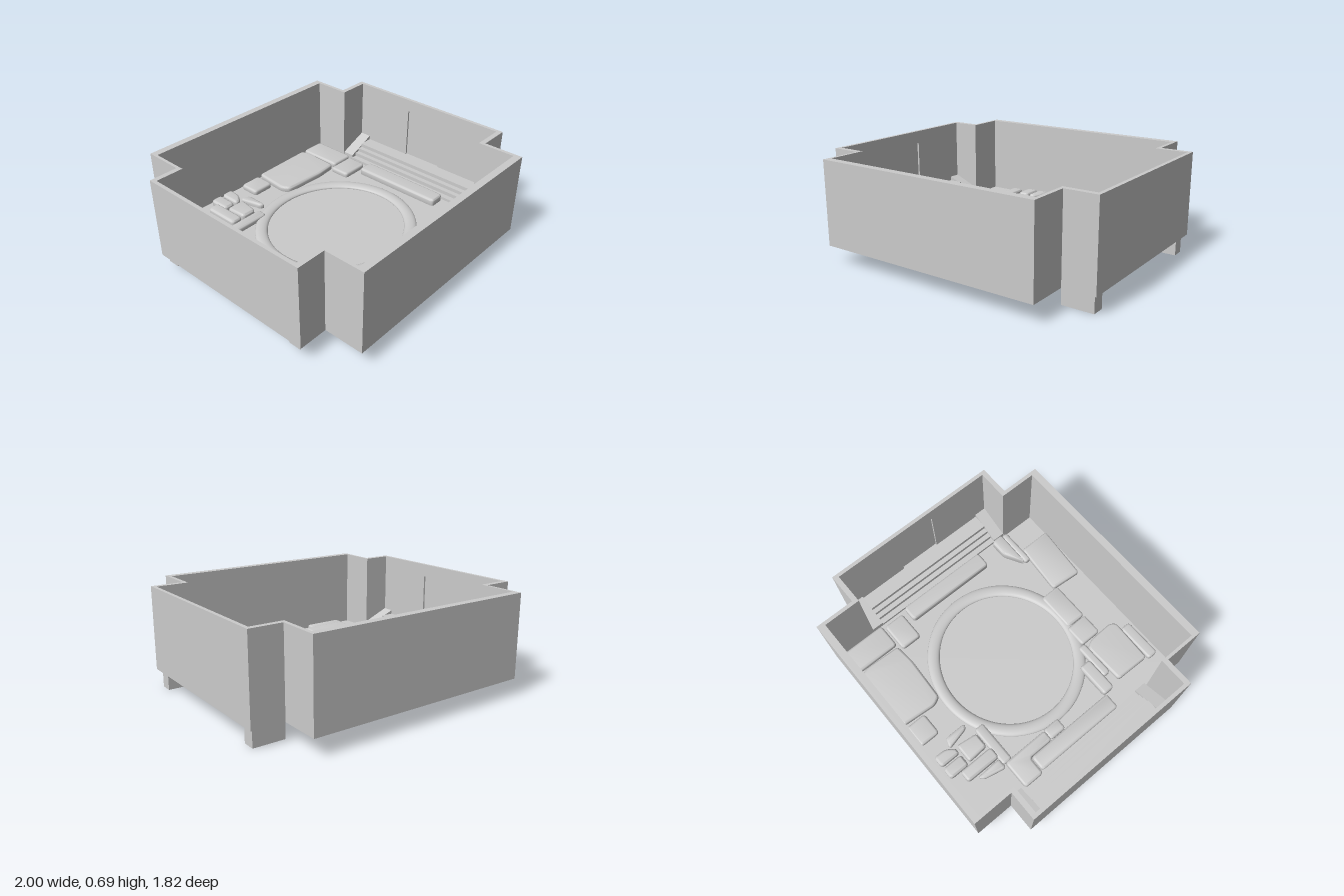
import * as THREE from 'three';
import { toCreasedNormals } from 'three/addons/utils/BufferGeometryUtils.js';

const material = new THREE.MeshStandardMaterial({ color: 0xcccccc, side: THREE.DoubleSide });
const BOTTOM = 0.12, TOP = 0.69;

export function createModel() {
  const model = new THREE.Group();
  model.name = 'chamber';

  const add = (name, geometry, parent = model) => {
    const mesh = new THREE.Mesh(geometry, material);
    mesh.name = name;
    parent.add(mesh);
    return mesh;
  };
  // Box given by its limits on each axis
  const box = (name, x0, x1, y0, y1, z0, z1, parent) => {
    const g = new THREE.BoxGeometry(x1 - x0, y1 - y0, z1 - z0);
    g.translate((x0 + x1) / 2, (y0 + y1) / 2, (z0 + z1) / 2);
    return add(name, g, parent);
  };
  const polygon = (pts) => new THREE.Shape(pts.map(([x, y]) => new THREE.Vector2(x, y)));
  // Side profile in x and y, extruded along z
  const prism = (name, pts, z0, z1, parent) => {
    const g = new THREE.ExtrudeGeometry(polygon(pts), { depth: z1 - z0, bevelEnabled: false });
    g.translate(0, 0, z0);
    return add(name, g, parent);
  };

  // Floor and main walls
  box('floor', -0.79, 0.77, BOTTOM, 0.13, -0.89, 0.89);
  for (const s of [1, -1]) {
    box(s > 0 ? 'frontWall' : 'backWall', -0.8, 0.78, BOTTOM, TOP, s > 0 ? 0.86 : -0.91, s > 0 ? 0.91 : -0.86);
    const [z0, z1] = s > 0 ? [0.6, 0.87] : [-0.87, -0.6];
    box('cornerWall', -0.8, -0.78, BOTTOM, TOP, z0, z1);
    box('cornerWall', 0.755, 0.78, BOTTOM, TOP, z0, z1);
  }

  // Side alcoves, each with a stair up to a recessed doorway
  for (const s of [1, -1]) {
    const alcove = new THREE.Group();
    alcove.name = s > 0 ? 'leftAlcove' : 'rightAlcove';
    model.add(alcove);
    const base = s > 0 ? 0 : 0.07;
    const span = (a, b) => (s > 0 ? [a, b] : [-b, -a]);

    box('endWall', ...span(0.988, 1), BOTTOM, TOP, -0.635, 0.635, alcove);
    const inner = polygon([[-0.635, BOTTOM], [0.635, BOTTOM], [0.635, TOP], [-0.635, TOP]]);
    inner.holes.push(polygon([[-0.15, 0.23], [-0.15, 0.6], [0.15, 0.6], [0.15, 0.23]]));
    const doorway = new THREE.ExtrudeGeometry(inner, { depth: 0.013, bevelEnabled: false });
    doorway.rotateY(Math.PI / 2);
    doorway.translate(span(0.975, 0.988)[0], 0, 0);
    add('doorway', doorway, alcove);

    for (const [z0, z1] of [[0.6, 0.635], [-0.635, -0.6]]) {
      box('returnWall', ...span(s > 0 ? 0.756 : 0.781, 0.976), BOTTOM, TOP, z0, z1, alcove);
    }
    // Sloped cheek blocks either side of the steps
    for (const [z0, z1] of [[0.515, 0.6], [-0.6, -0.515]]) {
      prism('stairCheek', [[0.76, base], [0.973, base], [0.973, 0.26], [0.76, 0.17]].map(([x, y]) => [s * x, y]), z0, z1, alcove);
    }
    // Hollow steps
    const t = 0.006;
    const line = [[0.76, 0.15], [0.8, 0.15], [0.8, 0.177], [0.835, 0.177], [0.835, 0.203], [0.87, 0.203], [0.87, 0.23]];
    const under = line.map(([x, y]) => [x + t, y - t]).reverse();
    const profile = [[0.76, base], ...line, [0.975, 0.23], [0.975, 0.23 - t], ...under, [0.76 + t, base]];
    prism('steps', profile.map(([x, y]) => [s * x, y]), -0.515, 0.515, alcove);
  }

  // Low rounded ring in the floor
  const ring = new THREE.TorusGeometry(0.53, 0.045, 16, 96);
  ring.rotateX(Math.PI / 2);
  ring.scale(1, 0.45, 0.945);
  ring.translate(0, 0.133, -0.003);
  add('floorRing', ring);

  // Paving stones: plan outline in x and z with rounded corners and a soft rim
  const stones = new THREE.Group();
  stones.name = 'pavingStones';
  model.add(stones);
  const stone = (pts, top) => {
    const shape = new THREE.Shape();
    const v = pts.map(([x, z]) => new THREE.Vector2(x, -z));
    v.forEach((p, i) => {
      const prev = v[(i + v.length - 1) % v.length], next = v[(i + 1) % v.length];
      const toward = (q) => p.clone().lerp(q, Math.min(0.025 / p.distanceTo(q), 0.4));
      const a = toward(prev), b = toward(next);
      if (i === 0) shape.moveTo(a.x, a.y);
      else shape.lineTo(a.x, a.y);
      shape.quadraticCurveTo(p.x, p.y, b.x, b.y);
    });
    shape.closePath();
    const y0 = 0.114, rim = 0.016;
    const g = new THREE.ExtrudeGeometry(shape, {
      depth: top - y0 - 2 * rim, bevelThickness: rim, bevelSize: rim, bevelOffset: -rim, bevelSegments: 4, curveSegments: 5,
    });
    g.rotateX(-Math.PI / 2);
    g.translate(0, y0 + rim, 0);
    add('stone', toCreasedNormals(g, 0.8), stones);
  };
  // Rectangular stones: x0, x1, z0, z1, top
  for (const [x0, x1, z0, z1, top] of [
    [0.57, 0.752, -0.865, -0.535, 0.165], [-0.12, 0.045, -0.845, -0.695, 0.165],
    [0.515, 0.73, -0.52, -0.365, 0.165], [0.635, 0.753, -0.33, 0.355, 0.18],
    [-0.42, -0.335, -0.83, -0.68, 0.18], [-0.51, -0.425, -0.755, -0.495, 0.19],
    [-0.57, -0.26, -0.505, -0.43, 0.165], [-0.645, -0.56, -0.15, -0.02, 0.165],
    [-0.765, -0.65, -0.33, 0.35, 0.175], [-0.645, -0.39, 0.335, 0.425, 0.18],
    [-0.545, -0.275, 0.425, 0.485, 0.165], [-0.65, -0.36, 0.755, 0.835, 0.165],
    [-0.275, -0.115, 0.465, 0.63, 0.165], [-0.11, 0.18, 0.48, 0.63, 0.165],
    [0.475, 0.753, 0.58, 0.63, 0.165],
  ]) stone([[x0, z0], [x1, z0], [x1, z1], [x0, z1]], top);
  // Irregular stones
  stone([[0.07, -0.85], [0.54, -0.86], [0.56, -0.8], [0.55, -0.54], [0.4, -0.525], [0.08, -0.54], [0.05, -0.6]], 0.17);
  stone([[-0.32, -0.83], [-0.235, -0.83], [-0.24, -0.74], [-0.28, -0.68], [-0.32, -0.68]], 0.18);
  stone([[-0.56, -0.66], [-0.525, -0.69], [-0.515, -0.5], [-0.595, -0.5]], 0.165);
  stone([[-0.41, -0.665], [-0.27, -0.665], [-0.29, -0.51], [-0.4, -0.51]], 0.18);
  stone([[-0.255, -0.71], [-0.18, -0.69], [-0.18, -0.53], [-0.215, -0.54]], 0.165);
  stone([[-0.78, -0.49], [-0.57, -0.49], [-0.57, -0.15], [-0.65, -0.15], [-0.65, -0.34], [-0.78, -0.34]], 0.195);
  stone([[-0.625, 0.49], [-0.32, 0.48], [-0.285, 0.54], [-0.28, 0.72], [-0.31, 0.76], [-0.63, 0.75]], 0.17);
  stone([[0.185, 0.6], [0.57, 0.63], [0.57, 0.86], [0.165, 0.83]], 0.165);
  stone([[0.475, 0.575], [0.62, 0.49], [0.753, 0.49], [0.753, 0.58]], 0.19);

  return model;
}
